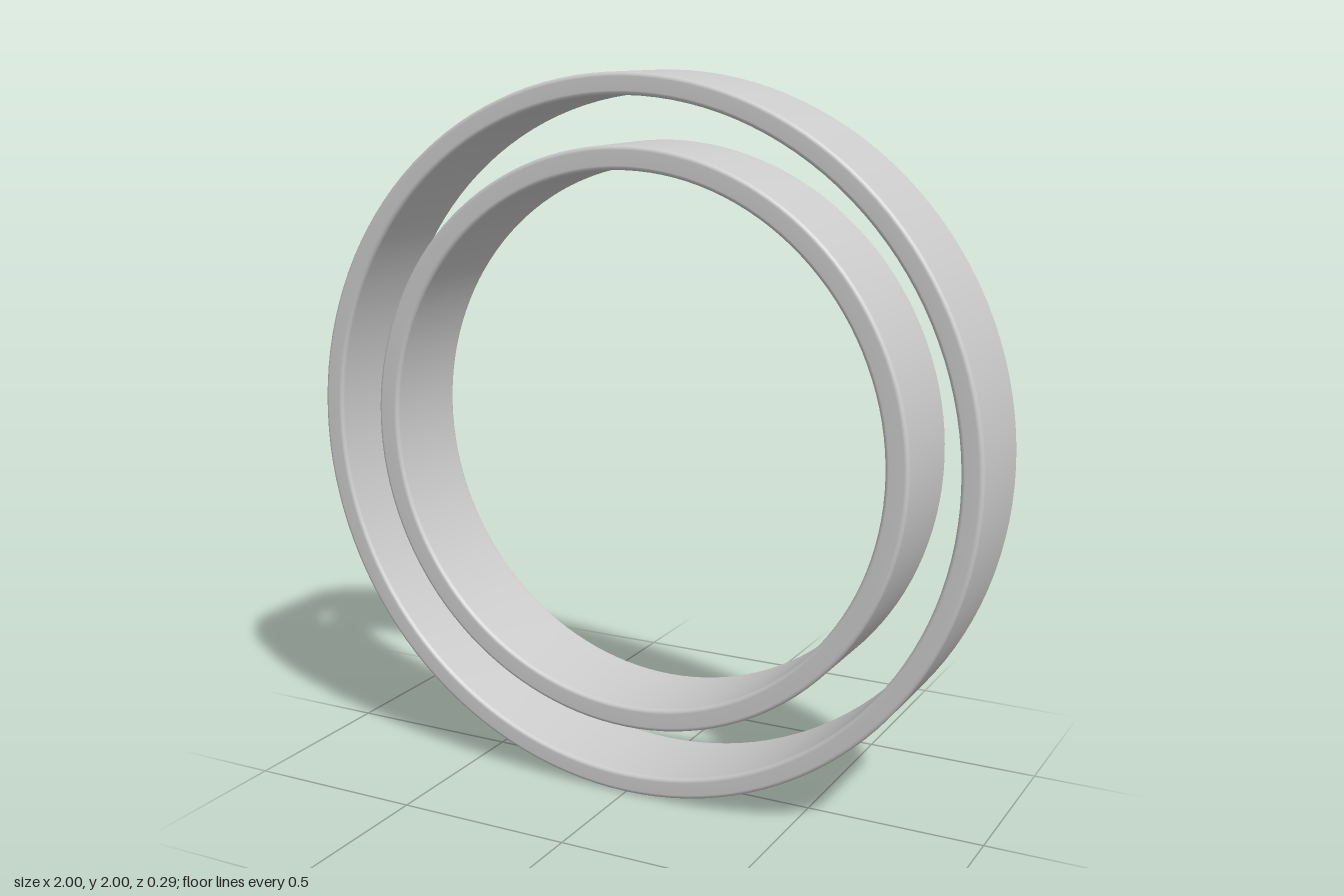
import * as THREE from 'three';

const HALF_DEPTH = 0.147;

// Flat band with softly rounded rims, its axis along z
function makeBand(name, inner, outer, material) {
  const h = HALF_DEPTH, r = 0.012, steps = 4;
  const profile = [new THREE.Vector2(inner, 0)];
  const corners = [
    [inner + r, -h + r, Math.PI],
    [outer - r, -h + r, Math.PI * 1.5],
    [outer - r, h - r, 0],
    [inner + r, h - r, Math.PI * 0.5],
  ];
  for (const [cx, cy, start] of corners) {
    for (let i = 0; i <= steps; i++) {
      const a = start + (i / steps) * Math.PI / 2;
      profile.push(new THREE.Vector2(cx + r * Math.cos(a), cy + r * Math.sin(a)));
    }
  }
  profile.push(new THREE.Vector2(inner, 0));
  const geometry = new THREE.LatheGeometry(profile, 128);
  geometry.rotateX(Math.PI / 2);
  const mesh = new THREE.Mesh(geometry, material);
  mesh.name = name;
  return mesh;
}

export function createModel() {
  const group = new THREE.Group();
  group.name = 'concentricRings';
  const material = new THREE.MeshStandardMaterial({ color: 0xcccccc });

  // Two separate concentric rings of equal depth
  const outerRing = makeBand('outerRing', 0.94, 1, material);
  outerRing.position.y = 1;
  const innerRing = makeBand('innerRing', 0.743, 0.808, material);
  innerRing.position.y = 1.004;

  group.add(outerRing, innerRing);
  return group;
}
